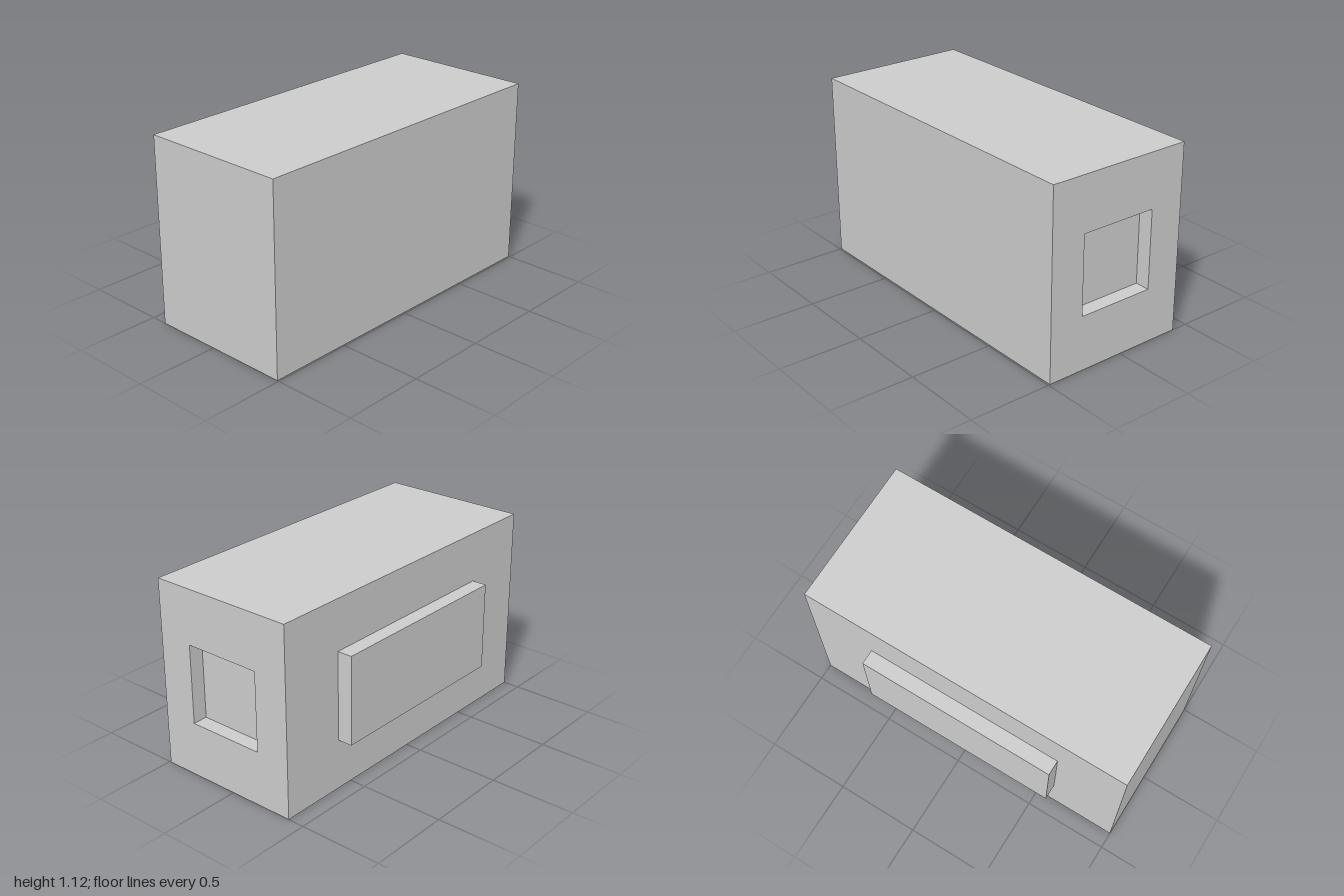
import * as THREE from 'three';

// Skin of a row of rectangular rings [x0, x1, y0, y1, z], capped at both ends
function rectLoft(rings) {
  const pos = [];
  const corners = rings.map(([x0, x1, y0, y1, z]) =>
    [[x0, y0, z], [x1, y0, z], [x1, y1, z], [x0, y1, z]]);
  const quad = (a, b, c, d) => pos.push(...a, ...b, ...c, ...a, ...c, ...d);
  quad(...corners[0]);
  for (let r = 0; r < corners.length - 1; r++) {
    const a = corners[r], b = corners[r + 1];
    for (let i = 0; i < 4; i++) {
      const j = (i + 1) % 4;
      quad(a[i], b[i], b[j], a[j]);
    }
  }
  quad(...corners[corners.length - 1].slice().reverse());
  const geo = new THREE.BufferGeometry();
  geo.setAttribute('position', new THREE.Float32BufferAttribute(pos, 3));
  geo.computeVertexNormals();
  return geo;
}

export function createModel() {
  const group = new THREE.Group();
  group.name = 'recessedBlock';
  const material = new THREE.MeshStandardMaterial({ color: 0xcccccc, flatShading: true });

  const left = 0.491, right = -0.402, height = 1.12, depth = 0.089;
  const midX = (left + right) / 2, midY = height / 2, half = 0.235;
  const outer = [right, left, 0, height];
  const pocket = [midX - half, midX + half, midY - half, midY + half];

  // Block with a square pocket sunk into its back face
  const body = new THREE.Mesh(rectLoft([
    [...outer, 1], [...outer, -1], [...pocket, -1], [...pocket, -1 + depth],
  ]), material);
  body.name = 'body';
  group.add(body);

  // Raised panel on the right side
  const panel = new THREE.Mesh(new THREE.BoxGeometry(depth, 0.525, 1.2), material);
  panel.name = 'sidePanel';
  panel.position.set(right - depth / 2, midY, 0);
  group.add(panel);

  return group;
}
